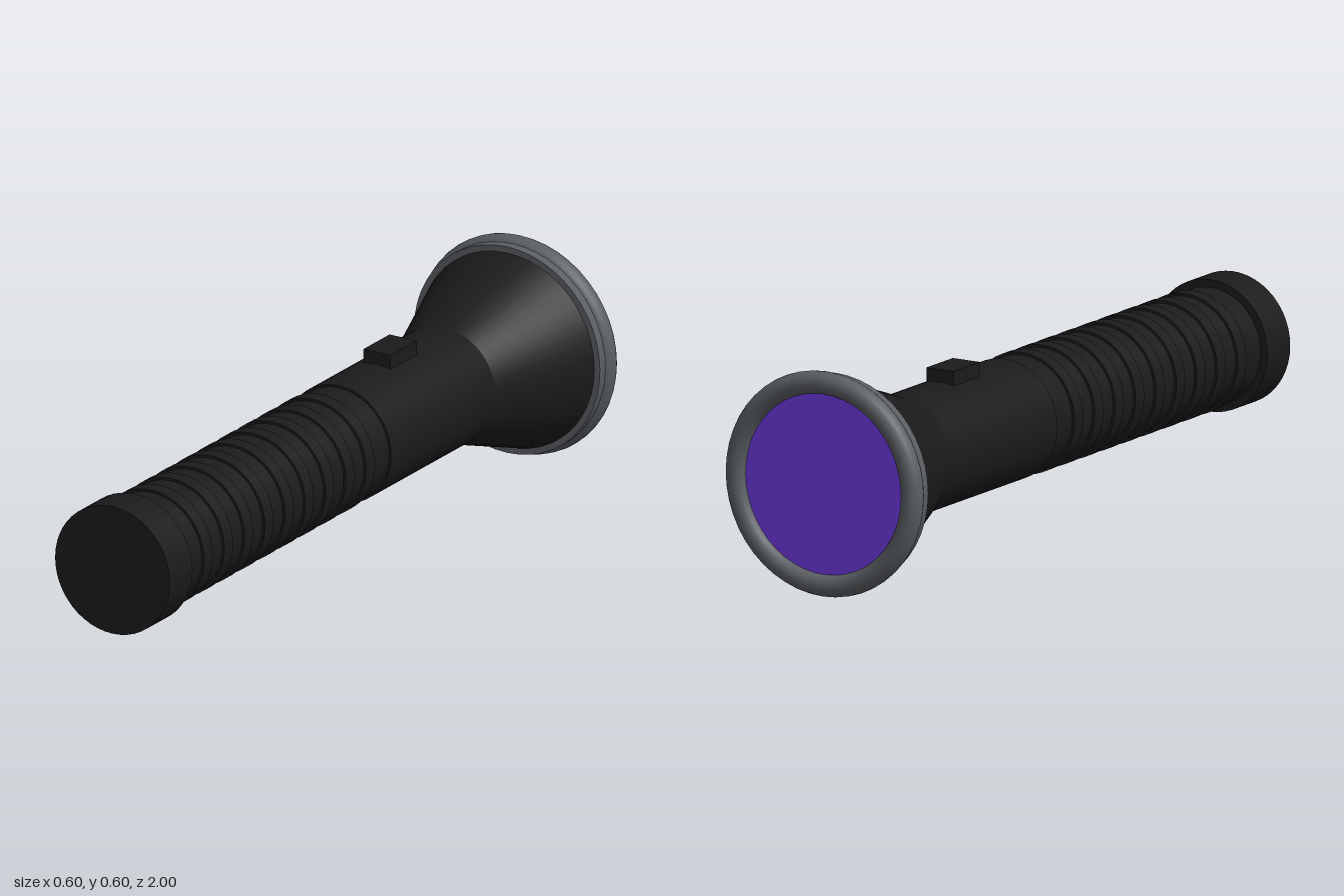
import * as THREE from 'three';

const AXIS_Y = 0.3015;

export function createModel() {
  const model = new THREE.Group();
  model.name = 'flashlight';

  const material = (name, color) => {
    const m = new THREE.MeshStandardMaterial({ color });
    m.name = name;
    return m;
  };
  const black = material('black casing', 0x1b1b1b);
  const grey = material('grey bezel', 0x5a5e62);
  const purple = material('purple lens', 0x6a36dc);

  const add = (name, geometry, mat, y = AXIS_Y, z = 0) => {
    const mesh = new THREE.Mesh(geometry, mat);
    mesh.name = name;
    mesh.position.set(0, y, z);
    model.add(mesh);
    return mesh;
  };

  // Cylinder along z, from the head side (zBack) to the tail side (zFront)
  const barrel = (name, zBack, zFront, rBack, rFront, mat) => {
    const geometry = new THREE.CylinderGeometry(rFront, rBack, zFront - zBack, 48);
    geometry.rotateX(Math.PI / 2);
    return add(name, geometry, mat, AXIS_Y, (zBack + zFront) / 2);
  };

  // Handle and tail
  barrel('body', -0.61, -0.1, 0.162, 0.162, black);
  barrel('grip', -0.1, 0.9, 0.156, 0.156, black);
  barrel('tailCap', 0.89, 1, 0.177, 0.177, black);

  // Raised grip rings
  for (let i = 0; i < 9; i++) {
    const z = 0.79 - i * 0.0985;
    barrel('gripRing', z - 0.021, z + 0.021, 0.163, 0.163, black);
  }

  // Flared head, collar and rounded bezel
  barrel('head', -0.93, -0.61, 0.274, 0.162, black);
  barrel('collar', -0.965, -0.918, 0.287, 0.287, grey);
  add('bezel', new THREE.TorusGeometry(0.271, 0.03, 20, 48), grey, AXIS_Y, -0.97);

  // Lens facing backwards
  barrel('lens', -0.975, -0.966, 0.25, 0.25, purple);

  // Sliding switch on top
  add('switch', new THREE.BoxGeometry(0.084, 0.05, 0.127), black, 0.472, -0.35);

  return model;
}
